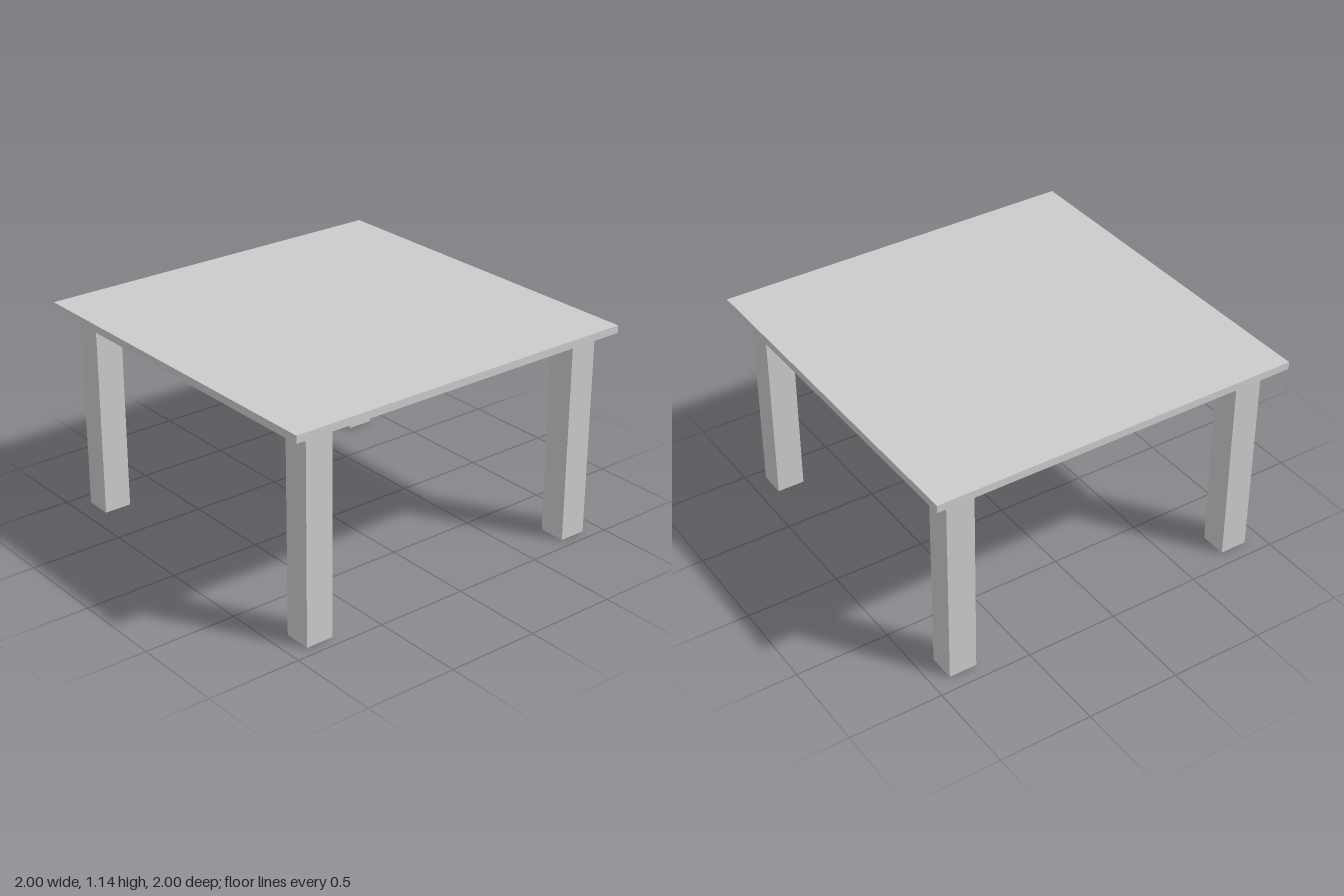
import * as THREE from 'three';

export function createModel() {
  const table = new THREE.Group();
  table.name = 'table';
  const material = new THREE.MeshStandardMaterial({ color: 0xcccccc, flatShading: true });

  const legHeight = 1.1;
  const topThickness = 0.04;

  function addBox(name, width, height, depth, x, bottom, z) {
    const mesh = new THREE.Mesh(new THREE.BoxGeometry(width, height, depth), material);
    mesh.name = name;
    mesh.position.set(x, bottom + height / 2, z);
    table.add(mesh);
  }

  // Thin square slab
  addBox('tableTop', 2, topThickness, 2, 0, legHeight, 0);

  // Four square legs, the front pair set slightly nearer the edge
  for (const [end, z] of [['front', 0.867], ['back', -0.843]]) {
    for (const [side, x] of [['Left', 0.827], ['Right', -0.827]]) {
      addBox(`${end}${side}Leg`, 0.15, legHeight, 0.146, x, 0, z);
    }
  }

  return table;
}
